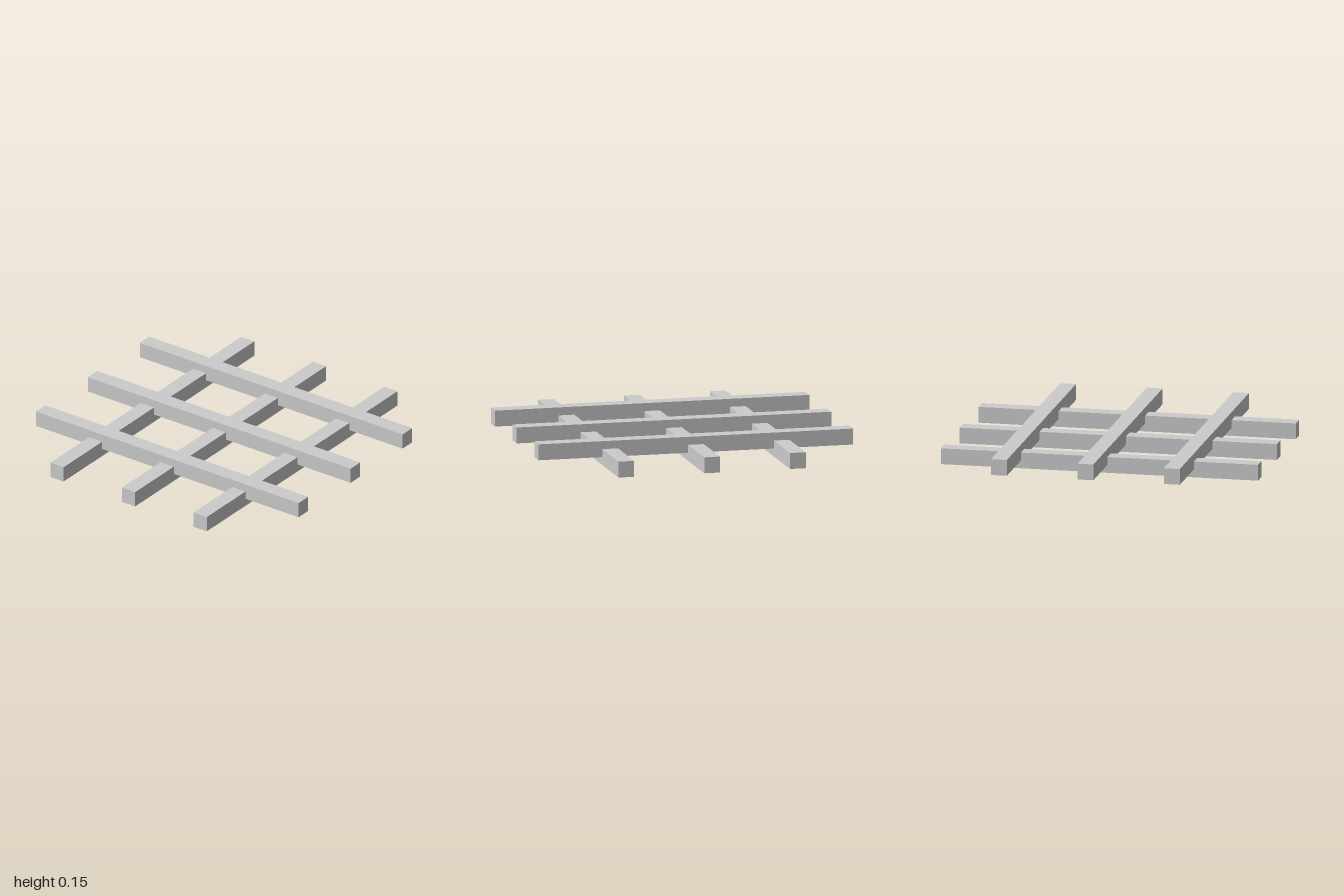
import * as THREE from 'three';

const LENGTH = 2;
const THICK = 0.1;
const OFFSETS = [-0.545, 0, 0.545];

export function createModel() {
  const model = new THREE.Group();
  model.name = 'crossedBarGrid';
  const material = new THREE.MeshStandardMaterial({ color: 0xcccccc, flatShading: true });

  const crossBars = new THREE.Group();
  crossBars.name = 'lowerCrossBars';
  const longBars = new THREE.Group();
  longBars.name = 'upperLongBars';
  model.add(crossBars, longBars);

  const crossGeometry = new THREE.BoxGeometry(LENGTH, THICK, THICK);
  const longGeometry = new THREE.BoxGeometry(THICK, THICK, LENGTH);

  OFFSETS.forEach((offset, i) => {
    // Lower bars run left to right and rest on the ground
    const cross = new THREE.Mesh(crossGeometry, material);
    cross.name = `crossBar${i + 1}`;
    cross.position.set(0, THICK / 2, offset);
    crossBars.add(cross);

    // Upper bars run front to back, sunk halfway into the lower ones
    const long = new THREE.Mesh(longGeometry, material);
    long.name = `longBar${i + 1}`;
    long.position.set(offset, THICK, 0);
    longBars.add(long);
  });

  return model;
}
